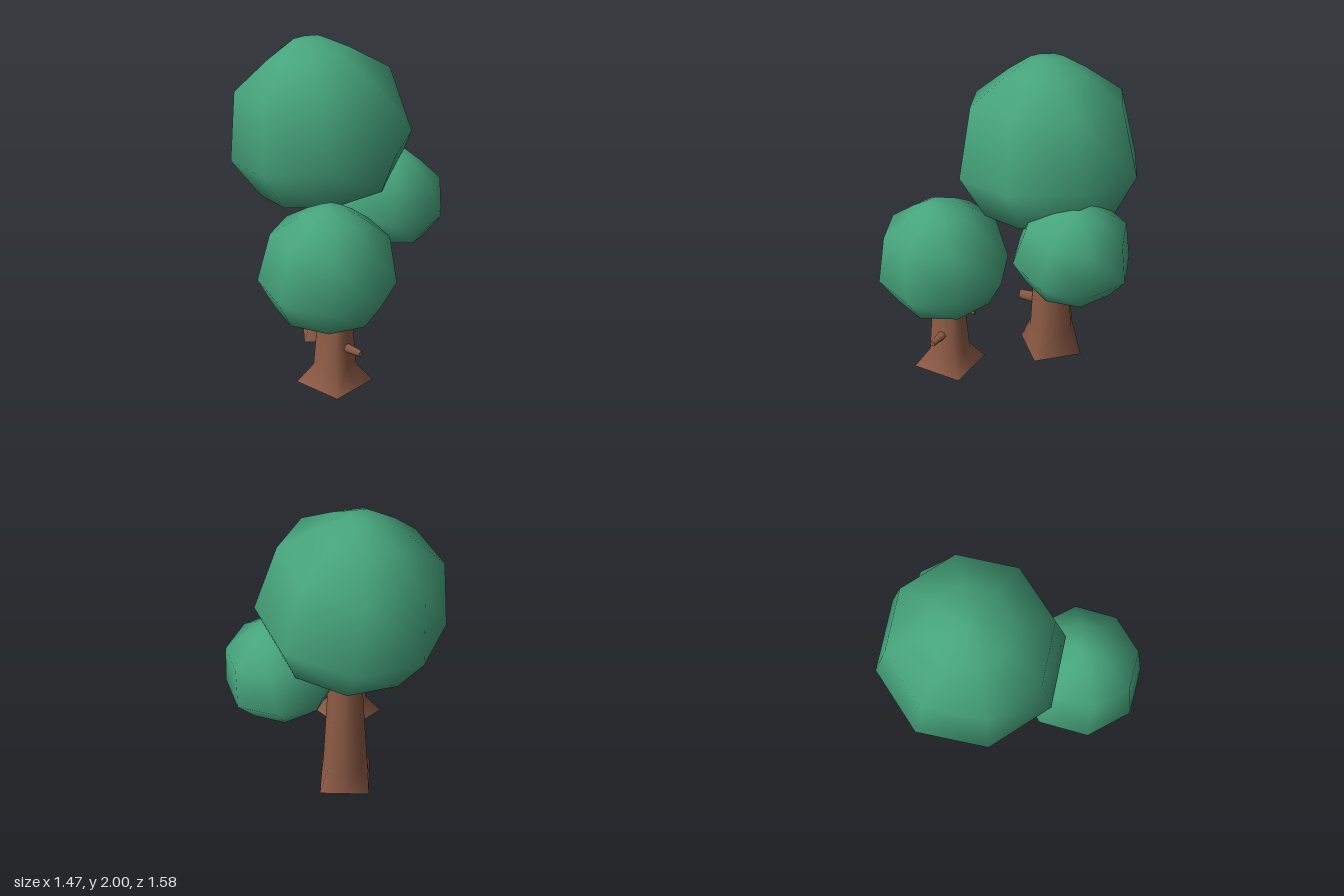
import * as THREE from 'three';
import { mergeVertices } from 'three/addons/utils/BufferGeometryUtils.js';

const V = (x, y, z) => new THREE.Vector3(x, y, z);
const UP = V(0, 1, 0);

export function createModel() {
  const group = new THREE.Group();
  const leafGreen = new THREE.MeshStandardMaterial({ color: 0x46a47c });
  leafGreen.name = 'leafGreen';
  const barkBrown = new THREE.MeshStandardMaterial({ color: 0x8b5a44 });
  barkBrown.name = 'barkBrown';

  const add = (name, geometry, material, position) => {
    const mesh = new THREE.Mesh(geometry, material);
    mesh.name = name;
    mesh.position.copy(position);
    group.add(mesh);
    return mesh;
  };

  // Leaf crown: eight-sided blob with a flat underside, leaning along an axis
  const profile = [[0, -0.3], [0.27, -0.29], [0.43, -0.26], [0.58, 0],
    [0.49, 0.437], [0.255, 0.603], [0.105, 0.69], [0, 0.695]]
    .map(([r, y]) => new THREE.Vector2(r, y));
  const crownShape = new THREE.LatheGeometry(profile, 8);
  function crown(name, center, lean, yaw, width, height) {
    const mesh = add(name, crownShape, leafGreen, center);
    mesh.quaternion.setFromUnitVectors(UP, lean.normalize())
      .multiply(new THREE.Quaternion().setFromAxisAngle(UP, yaw));
    mesh.scale.set(width, height, width);
  }
  crown('largeCrown', V(-0.16, 1.305, -0.11), V(-0.095, 1, 0.095), 0.06, 1, 1);
  crown('frontCrown', V(0.32, 0.675, 0.375), V(0.085, 1, 0.02), 0, 0.72, 0.7);
  crown('backCrown', V(0.115, 0.87, -0.42), V(0.08, 1, -0.16), -0.03, 0.635, 0.58);

  // Trunk: each row is [height, radius on the axes, radius on the diagonals], top to bottom
  function trunk(name, center, rows) {
    let g = new THREE.CylinderGeometry(1, 1, 1, 8, rows.length - 1, true);
    const p = g.attributes.position;
    for (let i = 0; i < p.count; i++) {
      const [y, axis, diagonal] = rows[Math.floor(i / 9)];
      const a = (i % 9) * Math.PI / 4;
      const r = (i % 9) % 2 ? diagonal : axis;
      p.setXYZ(i, Math.sin(a) * r, y, Math.cos(a) * r);
    }
    g.deleteAttribute('uv');
    g.deleteAttribute('normal');
    g = mergeVertices(g);
    g.computeVertexNormals();
    add(name, g, barkBrown, center);

    // Square foot closing the underside
    const [, axis, diagonal] = rows[rows.length - 1];
    const foot = new THREE.CircleGeometry(Math.max(axis, diagonal), 4);
    if (diagonal > axis) foot.rotateZ(Math.PI / 4);
    foot.rotateX(Math.PI / 2);
    add(name + 'Foot', foot, barkBrown, center);
  }
  trunk('largeTrunk', V(-0.145, 0, -0.145),
    [[1.1, 0.09, 0.09], [0.18, 0.147, 0.142], [0, 0.225, 0.159]]);
  trunk('smallTrunk', V(0.345, 0, 0.335),
    [[0.5, 0.083, 0.1], [0.12, 0.105, 0.13], [0, 0.165, 0.2333]]);

  // Broken branch stubs
  function branch(name, from, to, r0, r1) {
    const dir = to.clone().sub(from);
    const g = new THREE.CylinderGeometry(r1, r0, dir.length(), 6);
    const mesh = add(name, g, barkBrown, from.clone().add(to).multiplyScalar(0.5));
    mesh.quaternion.setFromUnitVectors(UP, dir.normalize());
  }
  branch('largeTrunkStub', V(-0.1, 0.37, -0.1), V(-0.065, 0.383, 0.045), 0.042, 0.032);
  branch('smallTrunkSideStub', V(0.4, 0.255, 0.33), V(0.55, 0.252, 0.33), 0.032, 0.019);
  branch('smallTrunkBackStub', V(0.35, 0.42, 0.3), V(0.35, 0.437, 0.135), 0.022, 0.013);
  branch('crownBranch', V(-0.12, 0.78, -0.17), V(0.08, 0.87, -0.38), 0.04, 0.025);
  return group;
}
